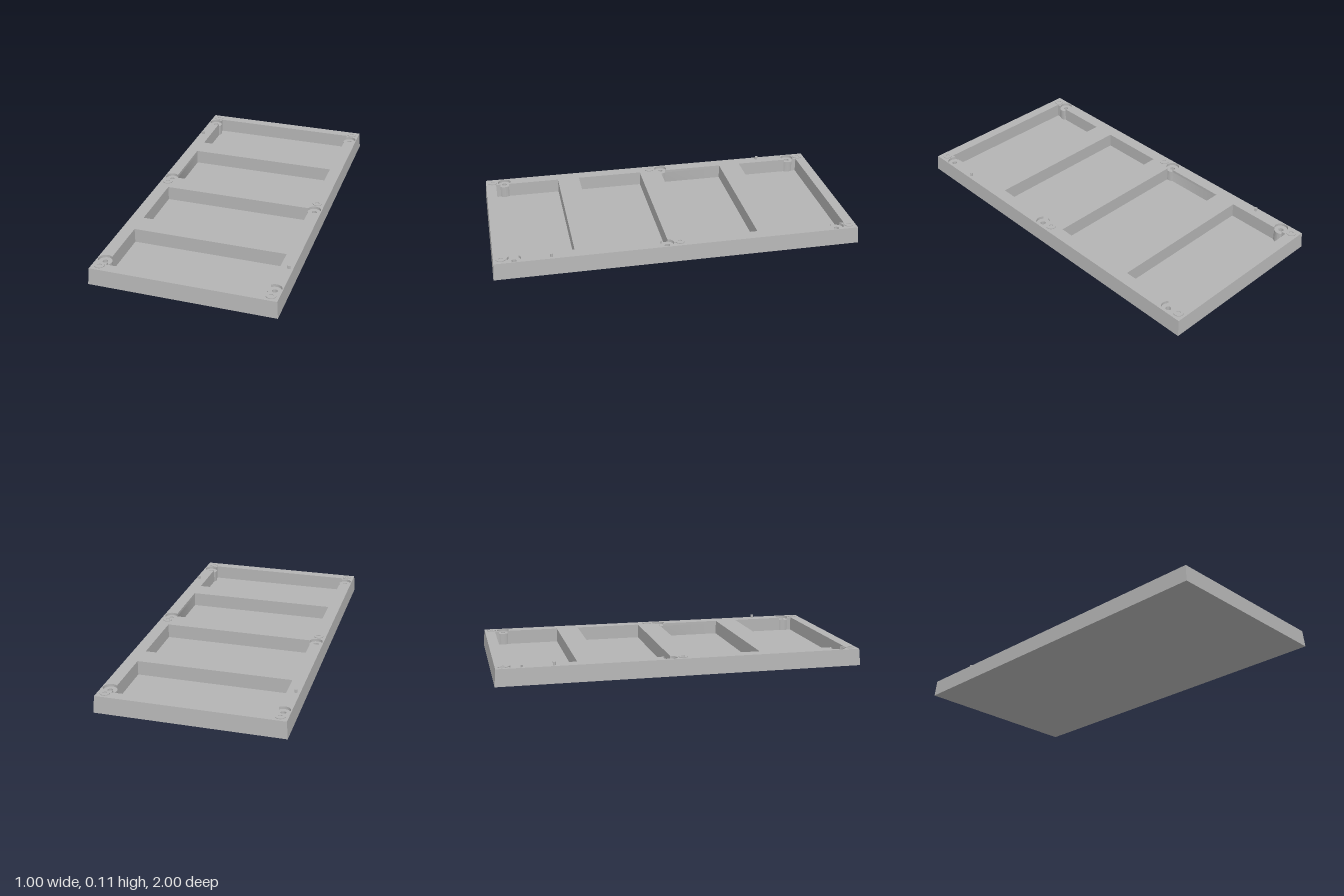
import * as THREE from 'three';
import { toCreasedNormals } from 'three/addons/utils/BufferGeometryUtils.js';

const H = 0.092, FLOOR = 0.012, RECESS = 0.077; // deck, pocket floor and recess heights
const W = 0.424;                                // pocket half width
const BX = 0.451, BR = 0.037, HOLE = 0.014;     // boss position, radius and screw hole
const A = Math.acos((BX - W) / BR);             // where a boss crosses the pocket side
const TAPER = 0.007;

const gray = new THREE.MeshStandardMaterial({ color: 0xb4b4b4 });
gray.name = 'gray';

function circle(x, v, r) {
  return new THREE.Path().absarc(x, v, r, 0, Math.PI * 2, false);
}

// Pocket with a boss on each long end; cut = true removes the boss, false leaves it standing
function endPocket(cut) {
  const p = new THREE.Path();
  p.moveTo(-W, 0.565);
  p.lineTo(W, 0.565);
  p.absarc(BX, 0.885, BR, Math.PI + A, Math.PI - A, !cut);
  p.lineTo(W, 0.935);
  p.lineTo(-W, 0.935);
  p.absarc(-BX, 0.885, BR, A, -A, !cut);
  p.closePath();
  return p;
}

// Pocket with a boss over one inner corner
function middlePocket(cut) {
  const v0 = 0.063, b = Math.asin((0.07 - v0) / BR);
  const p = new THREE.Path();
  p.moveTo(-BX + BR * Math.cos(b), v0);
  p.lineTo(W, v0);
  p.lineTo(W, 0.438);
  p.lineTo(-W, 0.438);
  p.absarc(-BX, 0.07, BR, A, -b, !cut);
  return p;
}

// The path plus its copy turned half way round
function withOpposite(path) {
  const pts = path.getPoints(20);
  return [new THREE.Path(pts), new THREE.Path(pts.map(p => p.clone().negate()))];
}

// Horizontal layer whose outer edge leans inwards as it rises
function layer(name, y0, y1, holes) {
  const s = new THREE.Shape([[-0.5, -1], [0.5, -1], [0.5, 1], [-0.5, 1]].map(c => new THREE.Vector2(...c)));
  s.holes.push(...holes);
  const g = new THREE.ExtrudeGeometry(s, { depth: y1 - y0, bevelEnabled: false, curveSegments: 20 });
  g.rotateX(-Math.PI / 2).translate(0, y0, 0);
  const pos = g.attributes.position;
  for (let i = 0; i < pos.count; i++) {
    const x = pos.getX(i), z = pos.getZ(i), inset = TAPER * pos.getY(i) / H;
    if (Math.abs(x) > 0.499) pos.setX(i, Math.sign(x) * (0.5 - inset));
    if (Math.abs(z) > 0.999) pos.setZ(i, Math.sign(z) * (1 - inset));
  }
  return mesh(name, g);
}

function mesh(name, g) {
  const m = new THREE.Mesh(toCreasedNormals(g, 0.6), gray);
  m.name = name;
  return m;
}

export function createModel() {
  const model = new THREE.Group();
  model.name = 'compartmentTray';

  // Base plate, pocket walls with standing bosses, and rim with boss recesses
  const pockets = cut => [...withOpposite(endPocket(cut)), ...withOpposite(middlePocket(cut))];
  const screwHoles = [[BX, 0.885], [-BX, 0.885], [-BX, 0.07]]
    .flatMap(([x, v]) => [circle(x, v, HOLE), circle(-x, -v, HOLE)]);
  model.add(layer('basePlate', 0, FLOOR, []));
  model.add(layer('pocketWalls', FLOOR, RECESS, [...pockets(false), ...screwHoles]));
  model.add(layer('rim', RECESS, H, pockets(true)));

  // Raised washers at the corners and midpoints
  const ring = new THREE.Shape().absarc(0, 0, 0.026, 0, Math.PI * 2, false);
  ring.holes.push(circle(0, 0, 0.011));
  const ringGeo = new THREE.ExtrudeGeometry(ring, { depth: 0.004, bevelEnabled: false, curveSegments: 20 });
  ringGeo.rotateX(-Math.PI / 2);
  for (const x of [-0.451, 0.451]) for (const z of [-0.953, 0, 0.953]) {
    const washer = mesh('washer', ringGeo);
    washer.position.set(x, H, z);
    model.add(washer);
  }

  // Locating pins on opposite edges
  for (const s of [-1, 1]) {
    const pin = mesh('locatingPin', new THREE.CylinderGeometry(0.008, 0.008, 0.018, 20));
    pin.position.set(s * 0.47, H + 0.009, s * 0.69);
    model.add(pin);
  }
  return model;
}
